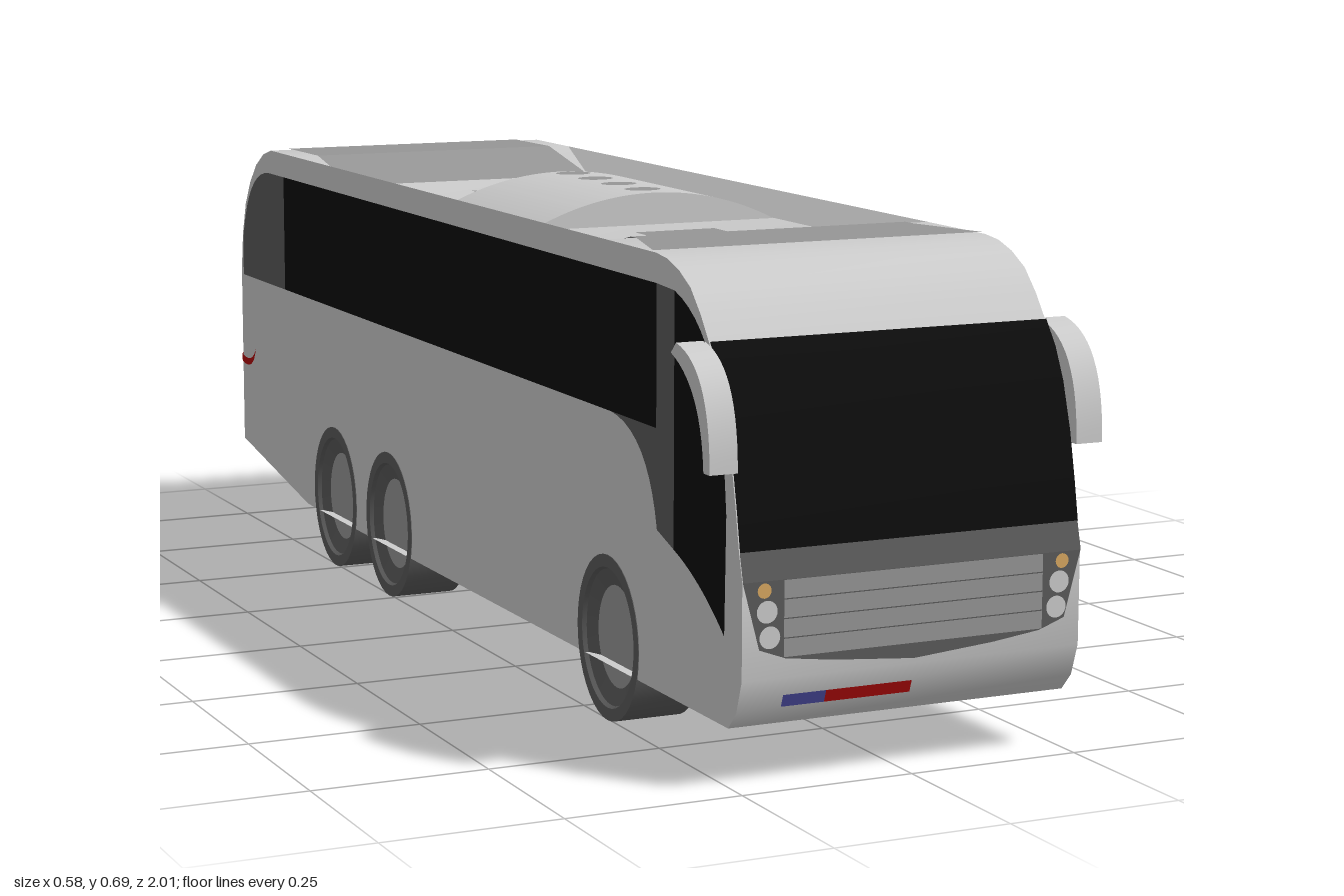
import * as THREE from 'three';
import { toCreasedNormals } from 'three/addons/utils/BufferGeometryUtils.js';

const W = 0.252; // half width of the body
const material = (color = 0xcccccc) => new THREE.MeshStandardMaterial({ color, side: THREE.DoubleSide });
const BLACK = 0x0c0c0c, DARK = 0x5a5a5a, MID = 0x969696, RED = 0xb00808;

// Band across the bus: points are [z, y, half width], solid side on the right-hand rule of travel
function band(points, crease = 0.5) {
  const pos = [];
  for (let i = 0; i < points.length - 1; i++) {
    const [z0, y0, w0 = W] = points[i], [z1, y1, w1 = W] = points[i + 1];
    pos.push(-w0, y0, z0, w0, y0, z0, w1, y1, z1, -w0, y0, z0, w1, y1, z1, -w1, y1, z1);
  }
  const g = new THREE.BufferGeometry();
  g.setAttribute('position', new THREE.Float32BufferAttribute(pos, 3));
  g.computeVertexNormals();
  return toCreasedNormals(g, crease);
}

const flat = (points) => new THREE.ShapeGeometry(new THREE.Shape(points.map(([a, b]) => new THREE.Vector2(a, b))));
// Flat panel on a side (s = 1 or -1), points are [z, y]
const sidePanel = (points, s, x) =>
  flat(points.map(([z, y]) => [-s * z, y])).rotateY(s * Math.PI / 2).translate(s * x, 0, 0);
// Flat panel on the rear, points are [x, y]
const rearPanel = (points) => flat(points.map(([x, y]) => [-x, y])).rotateY(Math.PI).translate(0, 0, -1.002);
const rect = (a0, b0, a1, b1) => [[a0, b0], [a1, b0], [a1, b1], [a0, b1]];
// Points along a quadratic curve
const bend = (a, c, b, n = 10) =>
  new THREE.QuadraticBezierCurve(new THREE.Vector2(...a), new THREE.Vector2(...c), new THREE.Vector2(...b))
    .getPoints(n).map((p) => [p.x, p.y]);
// Arc-shaped ring section, angles in degrees
function ringArc(cx, cy, r0, r1, from, to, n = 12) {
  const outer = [], inner = [];
  for (let i = 0; i <= n; i++) {
    const t = THREE.MathUtils.degToRad(from + (to - from) * i / n);
    outer.push([cx + r1 * Math.cos(t), cy + r1 * Math.sin(t)]);
    inner.unshift([cx + r0 * Math.cos(t), cy + r0 * Math.sin(t)]);
  }
  return [...outer, ...inner];
}

export function createModel() {
  const bus = new THREE.Group();
  bus.name = 'coach';
  const add = (name, geometry, color, parent = bus) => {
    const mesh = new THREE.Mesh(geometry, material(color));
    mesh.name = name;
    parent.add(mesh);
    return mesh;
  };
  const axles = [-0.52, -0.268, 0.587];
  const tyreY = 0.118, tyreZ = 0.102;

  // Body profile: tail, belly, nose and recessed roof
  const tail = [[-0.69, 0.675], [-0.83, 0.675], [-0.87, 0.665], [-0.91, 0.643], [-0.945, 0.609],
    [-0.972, 0.568], [-0.99, 0.515], [-1, 0.45], [-1, 0.14], [-0.66, 0.08]];
  const screen = [[0.99, 0.317], [0.98, 0.37], [0.966, 0.435], [0.946, 0.5], [0.925, 0.543], [0.9, 0.577]];
  const nose = [[0.962, 0.08], [0.985, 0.105], [1, 0.15], [1, 0.28], ...screen,
    [0.875, 0.61], [0.845, 0.641], [0.81, 0.66], [0.775, 0.671], [0.74, 0.675], [0.58, 0.675]];
  const valley = [[0.58, 0.675], [0.43, 0.64, 0.215], [-0.52, 0.64, 0.215], [-0.69, 0.675]];
  add('bodyShell', band([...tail, ...nose, ...valley.slice(1)]));

  // Side walls with wheel cut-outs
  const cut = Math.asin((tyreY - 0.08) / tyreY);
  const arches = axles.flatMap((z) => Array.from({ length: 25 }, (_, i) => {
    const t = Math.PI + cut - (Math.PI + 2 * cut) * i / 24;
    return [z + tyreZ * Math.cos(t), tyreY + tyreY * Math.sin(t)];
  }));
  const rearGlass = [[-0.76, 0.44], [-0.985, 0.44], ...bend([-0.985, 0.5], [-0.955, 0.63], [-0.84, 0.635]), [-0.76, 0.635]];
  const cabGlass = [[0.952, 0.2], [0.956, 0.36], ...bend([0.945, 0.46], [0.915, 0.6], [0.8, 0.632]),
    ...bend([0.8, 0.285], [0.88, 0.26], [0.952, 0.2])];
  const swoosh = [[0.8, 0.632], [0.745, 0.635], [0.745, 0.44], ...bend([0.6, 0.44], [0.72, 0.43], [0.748, 0.302]), [0.8, 0.285]];

  for (const s of [1, -1]) {
    const side = new THREE.Group();
    side.name = s > 0 ? 'leftSide' : 'rightSide';
    bus.add(side);
    add('sideWall', sidePanel([...tail, ...arches, ...nose], s, W), undefined, side);
    add('sideWindow', sidePanel(rect(-0.76, 0.44, 0.745, 0.635), s, W + 0.0015), BLACK, side);
    add('rearSideWindow', sidePanel(rearGlass, s, W + 0.0015), DARK, side);
    add('cabWindow', sidePanel(cabGlass, s, W + 0.0015), BLACK, side);
    add('windowSweep', sidePanel(swoosh, s, W + 0.0015), DARK, side);
    const crescent = [...bend([-0.925, 0.312], [-0.95, 0.28], [-1, 0.295], 8), ...bend([-1, 0.281], [-0.94, 0.268], [-0.925, 0.312], 8)];
    add('tailLightTip', sidePanel(crescent, s, W + 0.0015), RED, side);

    // Inner slope of the roof rail
    const rail = new THREE.BufferGeometry();
    const c = valley.map(([z, y, w = W]) => [s * w, y, z]);
    const order = s > 0 ? [0, 1, 2, 0, 2, 3] : [0, 2, 1, 0, 3, 2];
    rail.setAttribute('position', new THREE.Float32BufferAttribute(order.flatMap((i) => c[i]), 3));
    rail.computeVertexNormals();
    add('roofRail', rail, undefined, side);

    // Wing mirror: curved drooping blade
    const outline = [...bend([0.885, 0.577], [0.985, 0.56], [0.985, 0.42], 14), ...bend([0.967, 0.42], [0.96, 0.53], [0.87, 0.562], 14)];
    const blade = new THREE.ExtrudeGeometry(
      new THREE.Shape(outline.map(([z, y]) => new THREE.Vector2(-z, y))), { depth: 0.04, bevelEnabled: false });
    blade.rotateY(Math.PI / 2).translate(s > 0 ? W : -W - 0.04, 0, 0);
    add('mirror', toCreasedNormals(blade, 0.6), undefined, side);

    // Wheels
    for (const z of axles) {
      const wheel = new THREE.Group();
      wheel.name = 'wheel';
      const profile = [[0, 0.155], [0.118, 0.155], [0.118, 0.253], [0.1, 0.253], [0.097, 0.247], [0.073, 0.238]];
      const tyre = new THREE.LatheGeometry(profile.map(([r, h]) => new THREE.Vector2(r, h)), 40);
      add('tyre', toCreasedNormals(tyre.rotateZ(-Math.PI / 2), 0.4), DARK, wheel);
      add('hub', new THREE.CircleGeometry(0.074, 40).rotateY(Math.PI / 2).translate(0.238, 0, 0), MID, wheel);
      wheel.rotation.y = s > 0 ? 0 : Math.PI;
      wheel.scale.z = tyreZ / tyreY;
      wheel.position.set(0, tyreY, z);
      side.add(wheel);
    }

    // Headlamp cluster
    [[0.222, 0.268, 0.01, 0xd8a860], [0.218, 0.24, 0.015, 0xcccccc], [0.214, 0.206, 0.015, 0xcccccc]].forEach(([x, y, r, color]) =>
      add('headlamp', new THREE.CircleGeometry(r, 24).translate(s * x, y, 1.004), color, side));

    // Broken ring tail light
    [[90, 182], [188, 200], [205, 216]].forEach(([a, b]) => {
      const arc = ringArc(W, 0.2, 0.08, 0.096, a, b).map(([x, y]) => [s * x, y]);
      add('tailLight', rearPanel(arc), RED, side);
    });
    add('tailLight', rearPanel(rect(s * 0.195, 0.143, s * 0.225, 0.155)), RED, side);
  }

  // Door seam and locker vent on the left
  add('doorSeam', sidePanel(rect(0.785, 0.08, 0.797, 0.635), 1, W + 0.002), 0x333333);
  add('sideVent', sidePanel(rect(0.43, 0.355, 0.665, 0.395), 1, W + 0.0015), DARK);

  // Front: windscreen, mask, grille, plate
  add('windscreen', band(screen.map(([z, y]) => [z + 0.003, y + 0.001])), BLACK);
  add('maskTop', band([[1.002, 0.28], [0.992, 0.318]]), DARK);
  add('mask', flat([[-W, 0.28], [-0.228, 0.19], [-0.19, 0.176], [-0.12, 0.167], [0, 0.157],
    [0.12, 0.167], [0.19, 0.176], [0.228, 0.19], [W, 0.28]]).translate(0, 0, 1.0015), DARK);
  for (let i = 0; i < 4; i++) {
    const y = 0.178 + i * 0.0258;
    add('grilleSlat', flat(rect(-0.193, y, 0.193, y + 0.0243)).translate(0, 0, 1.003), MID);
  }
  const bumper = (x0, x1) => band([[0.99, 0.109], [0.996, 0.126]]).scale((x1 - x0) / (2 * W), 1, 1).translate((x0 + x1) / 2, 0, 0);
  add('bluePlate', bumper(-0.19, -0.127), 0x4a4a9c);
  add('redPlate', bumper(-0.127, 0), RED);
  add('rearPlate', rearPanel(rect(-0.08, 0.15, 0.08, 0.164)), 0xb89c3c);

  // Roof panels
  const up = 0.002;
  add('frontRoofPanel', band([[0.73, 0.675 + up], [0.6, 0.675 + up, 0.215], [0.58, 0.675 + up, 0.215], [0.45, 0.645 + up, 0.215]], 0.1), MID);
  add('rearRoofPanel', band([[-0.52, 0.64 + up, 0.215], [-0.69, 0.675 + up, 0.215], [-0.84, 0.674 + up, 0.215]], 0.1), MID);
  for (const z of [-0.287, 0.348])
    add('roofHatch', band([[z + 0.077, 0.64 + up, 0.065], [z - 0.077, 0.64 + up, 0.065]]), MID);

  // Arched air conditioning pod with fans
  const R = 0.443, half = Math.asin(0.2 / R);
  const arch = new THREE.Shape();
  arch.absarc(0, 0.691 - R, R, Math.PI / 2 - half, Math.PI / 2 + half, false);
  const pod = new THREE.ExtrudeGeometry(arch, { depth: 0.345, bevelEnabled: false, curveSegments: 24 });
  add('airConPod', toCreasedNormals(pod.translate(0, 0, -0.145), 0.5));
  for (const z of [-0.1, -0.015, 0.072, 0.158])
    add('fan', new THREE.CircleGeometry(0.028, 24).rotateX(-Math.PI / 2).scale(1, 1, 0.86).translate(0, 0.6925, z), MID);

  return bus;
}
